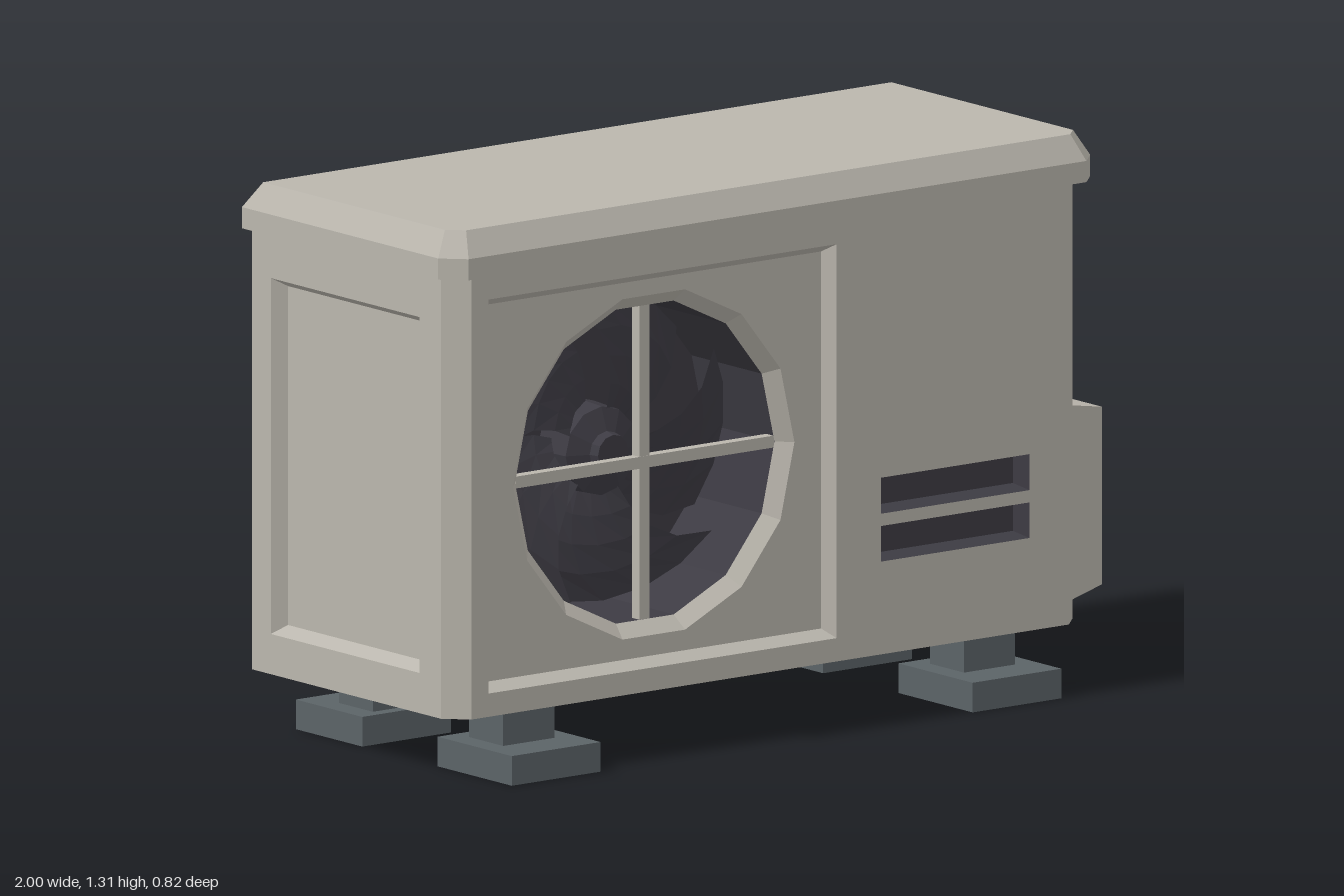
import * as THREE from 'three';

const paint = (name, color, side = THREE.FrontSide) => {
  const m = new THREE.MeshStandardMaterial({ color, side });
  m.name = name;
  m.flatShading = true;
  return m;
};

// Rectangle as a counterclockwise loop of [x, y]
const rect = (x0, y0, x1, y1, inset = 0) => [
  [x0 + inset, y0 + inset], [x1 - inset, y0 + inset],
  [x1 - inset, y1 - inset], [x0 + inset, y1 - inset]];

const ngon = (cx, cy, r, n) => Array.from({ length: n }, (_, i) => {
  const a = i / n * Math.PI * 2;
  return [cx + r * Math.cos(a), cy + r * Math.sin(a)];
});

// Plan outline with the two front corners cut; y is -z until stood up
const plan = (x0, x1, back, front, c) => [
  [x0, c - front], [x0 + c, -front], [x1 - c, -front], [x1, c - front], [x1, -back], [x0, -back]];

// Flat-faced skin through [loop, z] sections, with optional end caps and skipped sides
function loft(sections, { start = false, end = false, skip = [] } = {}) {
  const pos = [];
  const loops = sections.map(([pts, z]) => pts.map(([x, y]) => [x, y, z]));
  const tri = (...p) => p.forEach(v => pos.push(...v));
  for (let s = 0; s + 1 < loops.length; s++) {
    const a = loops[s], b = loops[s + 1], n = a.length;
    for (let i = 0; i < n; i++) {
      if (skip.includes(i)) continue;
      const j = (i + 1) % n;
      tri(a[i], a[j], b[j]);
      tri(a[i], b[j], b[i]);
    }
  }
  const first = loops[0], last = loops[loops.length - 1];
  for (let i = 1; i + 1 < first.length; i++) {
    if (start) tri(first[0], first[i + 1], first[i]);
    if (end) tri(last[0], last[i], last[i + 1]);
  }
  const g = new THREE.BufferGeometry();
  g.setAttribute('position', new THREE.Float32BufferAttribute(pos, 3));
  g.computeVertexNormals();
  return g;
}

// Flat plate with holes
function plate(outline, holes, z) {
  const vec = pts => pts.map(([x, y]) => new THREE.Vector2(x, y));
  const shape = new THREE.Shape(vec(outline));
  holes.forEach(h => shape.holes.push(new THREE.Path(vec(h))));
  return new THREE.ShapeGeometry(shape).translate(0, 0, z);
}

// Swept, pitched fan blade around the z axis
function bladeGeometry() {
  const g = new THREE.PlaneGeometry(1, 1, 4, 4);
  const p = g.attributes.position;
  for (let i = 0; i < p.count; i++) {
    const u = p.getX(i) + 0.5, v = p.getY(i) + 0.5;
    const r = 0.09 + 0.275 * v;
    const a = u * 1.12 + 0.45 * v * v;
    p.setXYZ(i, r * Math.cos(a), r * Math.sin(a), 0.06 + 0.1 * u * (0.6 + 0.4 * v));
  }
  g.computeVertexNormals();
  return g;
}

export function createModel() {
  const model = new THREE.Group();
  model.name = 'outdoorAirConditioner';
  const casing = paint('warmGreyCasing', 0xbab6ad);
  const dark = paint('darkInterior', 0x3d3b43);
  const bladeMat = paint('darkBlade', 0x3d3b43, THREE.DoubleSide);
  const rubber = paint('slateRubber', 0x5b6367);

  const add = (name, geo, mat, parent = model) => {
    const m = new THREE.Mesh(geo, mat);
    m.name = name;
    parent.add(m);
    return m;
  };
  const box = (name, x0, x1, y0, y1, z0, z1, mat) => add(name,
    new THREE.BoxGeometry(x1 - x0, y1 - y0, z1 - z0)
      .translate((x0 + x1) / 2, (y0 + y1) / 2, (z0 + z1) / 2), mat);

  const bottom = 0.155, top = 1.2, front = 0.35;

  // Casing: floor, back, right side and cut corners
  const body = plan(-0.97, 0.88, -0.41, front, 0.05);
  add('casingShell', loft([[body, bottom], [body, top]], { start: true, skip: [1, 5] })
    .rotateX(-Math.PI / 2), casing);

  // Lid with sloped edges
  const lid = plan(-1, 0.91, -0.41, 0.378, 0.05);
  add('lid', loft([[lid, top], [lid, 1.25], [plan(-0.965, 0.875, -0.375, 0.343, 0.035), 1.31]],
    { start: true, end: true }).rotateX(-Math.PI / 2), casing);

  // Front wall with a sunken fan panel and two vents
  const frame = [-0.87, 0.21, 0.15, 1.14];
  const vents = [[0.28, 0.374, 0.715, 0.458], [0.28, 0.487, 0.715, 0.572]];
  const panelZ = 0.317, ringZ = 0.283, fx = -0.36, fy = 0.68;
  add('frontWall', plate(rect(-0.92, bottom, 0.83, top),
    [rect(...frame), ...vents.map(v => rect(...v))], front), casing);
  add('fanPanelBevel', loft([[rect(...frame), front], [rect(...frame, 0.02), panelZ]]), casing);
  add('fanPanel', plate(rect(...frame, 0.02), [ngon(fx, fy, 0.412, 14)], panelZ), casing);
  vents.forEach(v => add('vent',
    loft([[rect(...v), front], [rect(...v, 0.01), 0.3]], { end: true }), dark));

  // Fan opening and well
  const inner = ngon(fx, fy, 0.38, 14);
  add('fanRing', loft([[ngon(fx, fy, 0.412, 14), panelZ], [inner, ringZ]]), casing);
  add('fanWell', loft([[inner, ringZ], [inner, 0.02]], { end: true }), dark);

  // Fan
  const fan = new THREE.Group();
  fan.name = 'fan';
  fan.position.set(fx, fy, 0);
  model.add(fan);
  add('hub', loft([[ngon(0, 0, 0.11, 12), 0.02], [ngon(0, 0, 0.105, 12), 0.12],
    [ngon(0, 0, 0.05, 12), 0.14], [ngon(0, 0, 0.045, 12), 0.165]], { end: true }), dark, fan);
  const blade = bladeGeometry();
  for (let i = 0; i < 5; i++) {
    add('blade', blade, bladeMat, fan).rotation.z = i / 5 * Math.PI * 2 + 0.3;
  }

  // Guard cross
  box('guardUpright', fx - 0.015, fx + 0.015, fy - 0.372, fy + 0.372, 0.255, 0.282, casing);
  box('guardCrossbar', fx - 0.378, fx + 0.378, fy - 0.014, fy + 0.014, 0.256, 0.283, casing);

  // Wall on the -x side with a sunken panel
  const side = new THREE.Group();
  side.name = 'sidePanelWall';
  side.rotation.y = -Math.PI / 2;
  model.add(side);
  const recess = [-0.34, 0.25, 0.22, 1.09];
  add('sideWall', plate(rect(-0.41, bottom, 0.3, top), [rect(...recess)], 0.97), casing, side);
  add('sideRecess', loft([[rect(...recess), 0.97], [rect(...recess, 0.02), 0.935]],
    { end: true }), casing, side);

  // Tapered connection cover and pipe on the +x side
  const cover = [-0.28, 0.19, 0.083, 0.655];
  add('connectionCover', loft([[rect(...cover), 0.88], [rect(...cover, 0.023), 1]],
    { end: true }).rotateY(Math.PI / 2), casing);
  add('pipe', new THREE.CylinderGeometry(0.039, 0.039, 0.36, 8)
    .translate(0.903, 0.813, 0.173), rubber);

  // Four feet, each a block on a wider pad
  for (const x of [-0.72, 0.63]) {
    for (const z of [-1, 1]) {
      const pad = z > 0 ? [0.133, 0.412] : [-0.4, -0.15];
      box('footPad', x - 0.13, x + 0.13, 0, 0.07, ...pad, rubber);
      box('footBlock', x - 0.075, x + 0.075, 0.07, bottom, 0.245 * z - 0.064, 0.245 * z + 0.064, rubber);
    }
  }
  return model;
}
